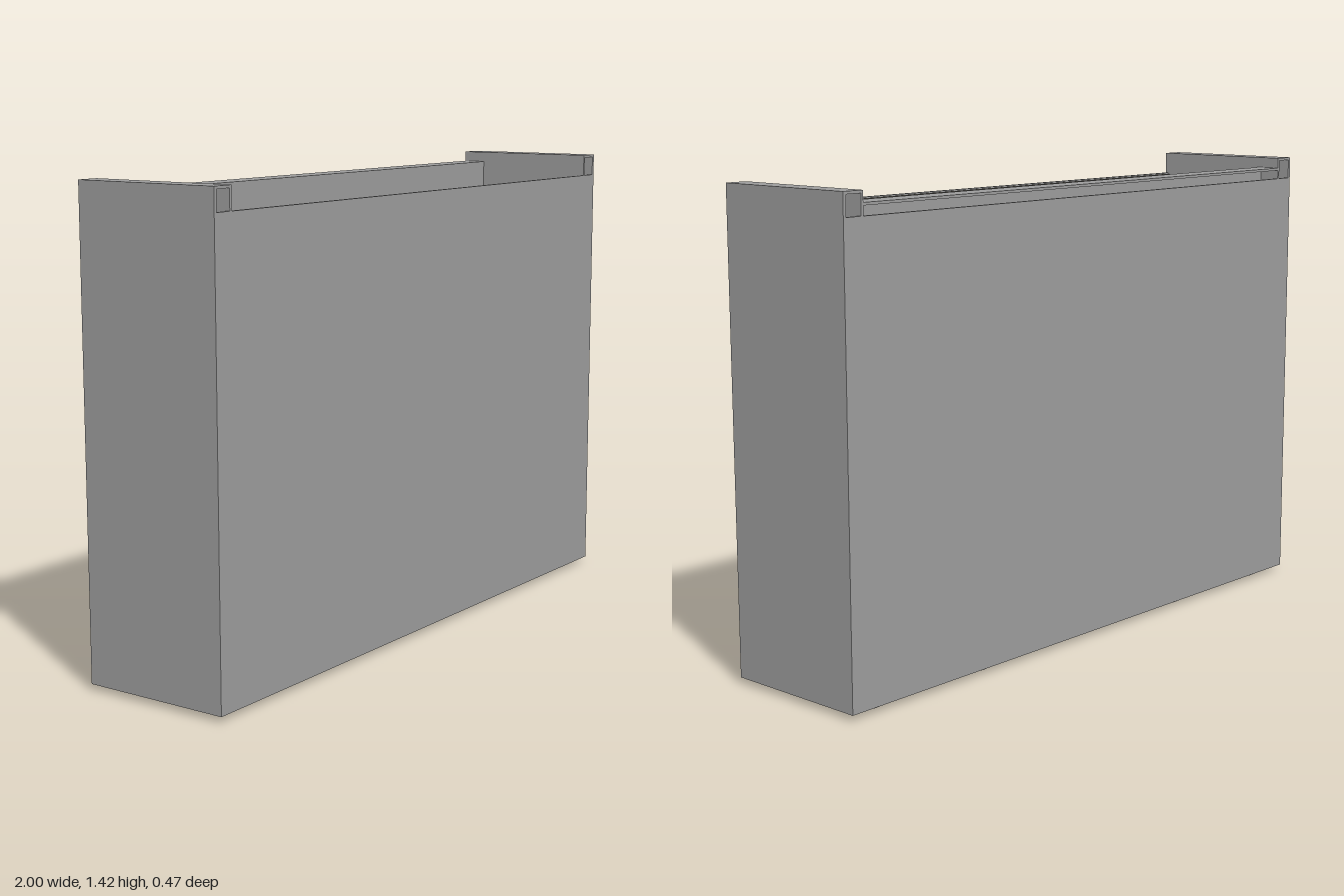
import * as THREE from 'three';

export function createModel() {
  const model = new THREE.Group();
  model.name = 'openTopCabinet';

  const grey = new THREE.MeshStandardMaterial({ color: 0x9b9b9b });
  grey.name = 'panelGrey';
  const dark = new THREE.MeshStandardMaterial({ color: 0x5d5a52 });
  dark.name = 'liningBrownGrey';

  // Box given by its minimum and maximum on each axis
  function box(name, x0, x1, y0, y1, z0, z1, material = grey) {
    const mesh = new THREE.Mesh(new THREE.BoxGeometry(x1 - x0, y1 - y0, z1 - z0), material);
    mesh.position.set((x0 + x1) / 2, (y0 + y1) / 2, (z0 + z1) / 2);
    mesh.name = name;
    model.add(mesh);
  }

  // Same box on the left and the right
  function pair(name, x0, x1, y0, y1, z0, z1) {
    box(name + 'Left', x0, x1, y0, y1, z0, z1);
    box(name + 'Right', -x1, -x0, y0, y1, z0, z1);
  }

  const back = -0.235, front = 0.232, base = 0.018, wallTop = 1.35, capTop = 1.417;

  // Floor with three rectangular openings
  const floorShape = new THREE.Shape([
    new THREE.Vector2(-1, -front), new THREE.Vector2(1, -front),
    new THREE.Vector2(1, -back), new THREE.Vector2(-1, -back),
  ]);
  for (const [x0, x1, z0, z1] of [
    [-0.87, -0.47, -0.16, 0.08], [-0.2, 0.2, -0.16, 0.2], [0.47, 0.87, -0.16, 0.08],
  ]) {
    floorShape.holes.push(new THREE.Path([
      new THREE.Vector2(x0, -z0), new THREE.Vector2(x1, -z0),
      new THREE.Vector2(x1, -z1), new THREE.Vector2(x0, -z1),
    ]));
  }
  const floorGeometry = new THREE.ExtrudeGeometry(floorShape, { depth: 0.02, bevelEnabled: false });
  floorGeometry.rotateX(-Math.PI / 2);
  const floor = new THREE.Mesh(floorGeometry, grey);
  floor.position.y = base;
  floor.name = 'floor';
  model.add(floor);

  // Outer walls, with a dark lining behind the front panel
  box('frontPanel', -1, 1, base, wallTop, front - 0.01, front);
  box('frontLining', -0.985, 0.985, base + 0.02, wallTop - 0.004, front - 0.016, front - 0.01, dark);
  box('backPanel', -1, 1, base, wallTop, back, back + 0.01);
  pair('sidePanel', 0.99, 1, base, capTop, back, front);

  // Hollow end caps, open at front and back
  pair('capTop', 0.93, 1, capTop - 0.008, capTop, back, front);
  pair('capInnerWall', 0.93, 0.938, 1.3, capTop, back, front);

  // Folded rail along the back
  box('railTop', -0.93, 0.93, 1.377, 1.385, back, -0.16);
  box('railFace', -0.93, 0.93, 1.29, 1.385, -0.168, -0.16);

  // Back frame posts and the recessed inner panel
  box('innerBackPanel', -0.99, 0.99, base, 1.34, -0.21, -0.2);
  pair('cornerPost', 0.925, 0.985, base, 1.3, -0.2, -0.16);
  pair('middlePost', 0.31, 0.36, base, 1.3, -0.2, -0.16);

  // Floor ribs running from the posts to the front
  pair('floorRib', 0.31, 0.36, 0.03, 0.08, -0.16, 0.2);
  pair('ribFoot', 0.305, 0.365, 0.03, 0.08, 0.18, 0.2);
  pair('sideRib', 0.925, 0.985, 0.03, 0.08, -0.16, 0.2);

  // Runners under the floor
  for (const x of [0.455, 0.878]) pair('runner', x - 0.011, x + 0.011, 0, base, -0.2, 0.135);

  return model;
}
